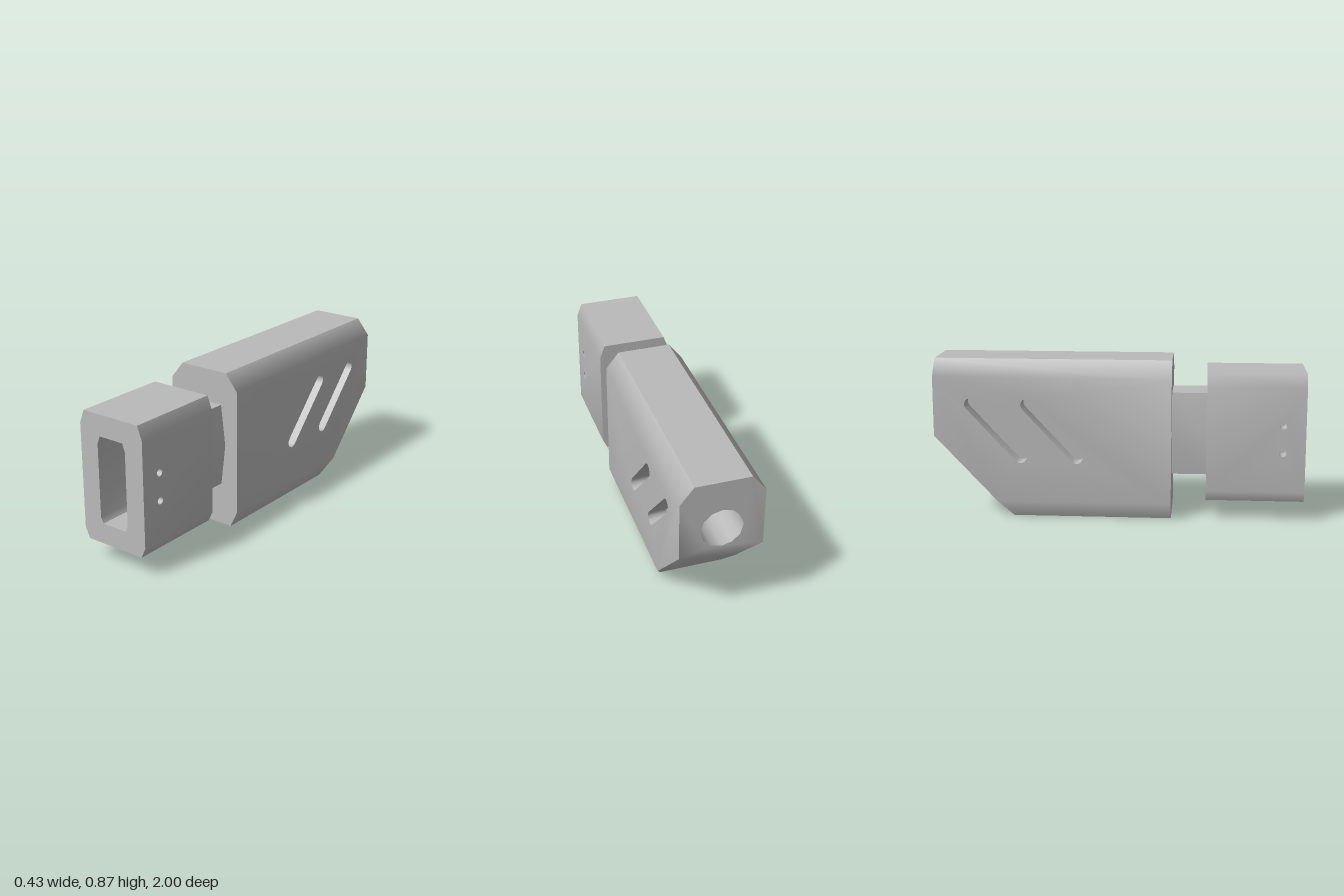
import * as THREE from 'three';
import { toCreasedNormals } from 'three/addons/utils/BufferGeometryUtils.js';

const V = (x, y, z) => new THREE.Vector3(x, y, z);
const CREASE = THREE.MathUtils.degToRad(45);

// Adds a triangle so that its front looks along the given direction
function addTriangle(out, a, b, c, facing) {
  const n = b.clone().sub(a).cross(c.clone().sub(a));
  const order = n.dot(facing) >= 0 ? [a, b, c] : [a, c, b];
  order.forEach((p) => out.push(p.x, p.y, p.z));
}

const middle = (pts) => pts.reduce((s, p) => s.add(p), V(0, 0, 0)).divideScalar(pts.length);

// Fills a flat polygon, leaving the hole loops open
function addPolygon(out, pts, holes, normal) {
  const u = pts[1].clone().sub(pts[0]).normalize();
  const v = normal.clone().cross(u);
  const flat = (loop) => loop.map((p) => new THREE.Vector2(p.dot(u), p.dot(v)));
  const all = [pts, ...holes].flat();
  for (const [a, b, c] of THREE.ShapeUtils.triangulateShape(flat(pts), holes.map(flat))) {
    addTriangle(out, all[a], all[b], all[c], normal);
  }
}

// Builds a convex solid from flat faces; holes become blind pockets of the given depth
function solid(name, faces, material) {
  const out = [];
  const centre = middle(faces.flatMap((f) => f.pts));
  for (const { pts, holes = [], depth = 0 } of faces) {
    const normal = pts[1].clone().sub(pts[0]).cross(pts[2].clone().sub(pts[1])).normalize();
    if (normal.dot(middle(pts).sub(centre)) < 0) normal.negate();
    addPolygon(out, pts, holes, normal);
    for (const hole of holes) {
      const floor = hole.map((p) => p.clone().addScaledVector(normal, -depth));
      const core = middle([...hole, ...floor]);
      hole.forEach((a, i) => {
        const j = (i + 1) % hole.length;
        const inward = core.clone().sub(middle([a, hole[j], floor[i], floor[j]]));
        addTriangle(out, a, hole[j], floor[j], inward);
        addTriangle(out, a, floor[j], floor[i], inward);
      });
      addPolygon(out, floor, [], normal);
    }
  }
  const geometry = new THREE.BufferGeometry();
  geometry.setAttribute('position', new THREE.Float32BufferAttribute(out, 3));
  const mesh = new THREE.Mesh(toCreasedNormals(geometry, CREASE), material);
  mesh.name = name;
  return mesh;
}

// Mirrors the +x half of a section (listed top to bottom) into a closed loop
const mirrored = (half) => [...half, ...half.map(([x, y]) => [-x, y]).reverse()];

// Round or capsule-shaped loop between two centres
function capsule(a, b, r, steps, place) {
  const start = Math.atan2(b[1] - a[1], b[0] - a[0]) - Math.PI / 2;
  const loop = [];
  [b, a].forEach((c, k) => {
    for (let i = 0; i <= steps; i++) {
      const t = start + k * Math.PI + (i / steps) * Math.PI;
      loop.push(place(c[0] + r * Math.cos(t), c[1] + r * Math.sin(t)));
    }
  });
  return loop;
}

function circle(cx, cy, r, sides, place) {
  return Array.from({ length: sides }, (_, i) => {
    const t = (i / sides) * Math.PI * 2;
    return place(cx + r * Math.cos(t), cy + r * Math.sin(t));
  });
}

// Faces of a body running along z; backZ gives the rear end for each height
function prismFaces(section, frontZ, backZ) {
  const front = section.map(([x, y]) => V(x, y, frontZ));
  const back = section.map(([x, y]) => V(x, y, backZ(y)));
  const walls = section.map((_, i) => {
    const j = (i + 1) % section.length;
    return { pts: [front[i], front[j], back[j], back[i]] };
  });
  return { front: { pts: front }, back: { pts: back }, walls };
}

export function createModel() {
  const group = new THREE.Group();
  const grey = new THREE.MeshStandardMaterial({ color: 0xbababa });
  grey.name = 'plain grey';

  // Main body: chamfered bar with a slanted lower rear corner
  const W = 0.217;
  const cutZ = (y) => Math.max(-1, -0.575 - (0.425 * y) / 0.45);
  const body = prismFaces(mirrored([[0.145, 0.865], [W, 0.775], [W, 0.09], [0.175, 0]]), 0.285, cutZ);

  // Side walls with two slanted slots each
  for (const [index, x] of [[1, W], [5, -W]]) {
    const place = (z, y) => V(x, y, z);
    body.walls[index] = {
      pts: [[0.285, 0.775], [0.285, 0.09], [cutZ(0.09), 0.09], [-1, 0.45], [-1, 0.775]].map(([z, y]) => place(z, y)),
      holes: [0, -0.305].map((dz) => capsule([-0.225 + dz, 0.34], [-0.49 + dz, 0.625], 0.035, 6, place)),
      depth: 0.1,
    };
  }

  // Rear face with the bore, and the slanted face below it
  const rear = {
    pts: [[0.145, 0.865], [W, 0.775], [W, 0.45], [-W, 0.45], [-W, 0.775], [-0.145, 0.865]].map(([x, y]) => V(x, y, -1)),
    holes: [circle(0, 0.59, 0.11, 12, (x, y) => V(x, y, -1))],
    depth: 0.6,
  };
  const slant = {
    pts: mirrored([[W, 0.45], [W, 0.09], [0.175, 0]]).map(([x, y]) => V(x, y, cutZ(y))),
  };
  group.add(solid('mainBody', [body.front, rear, slant, ...body.walls], grey));

  // Neck joining the two blocks
  const neck = prismFaces(mirrored([[0.113, 0.685], [0.14, 0.46], [0.113, 0.235]]), 0.475, () => 0.28);
  group.add(solid('neck', [neck.front, neck.back, ...neck.walls], grey));

  // Front block with a chamfered pocket and two pin holes per side
  const block = prismFaces(mirrored([[0.175, 0.805], [0.202, 0.733], [0.202, 0.165], [0.175, 0.108]]), 1, () => 0.473);
  block.front.holes = [
    mirrored([[0.074, 0.69], [0.09, 0.647], [0.09, 0.252], [0.074, 0.22]]).map(([x, y]) => V(x, y, 1)),
  ];
  block.front.depth = 0.45;
  for (const [index, x] of [[1, 0.202], [5, -0.202]]) {
    block.walls[index].holes = [0.53, 0.38].map((y) => circle(0.88, y, 0.02, 10, (z, h) => V(x, h, z)));
    block.walls[index].depth = 0.09;
  }
  group.add(solid('frontBlock', [block.front, block.back, ...block.walls], grey));

  return group;
}
